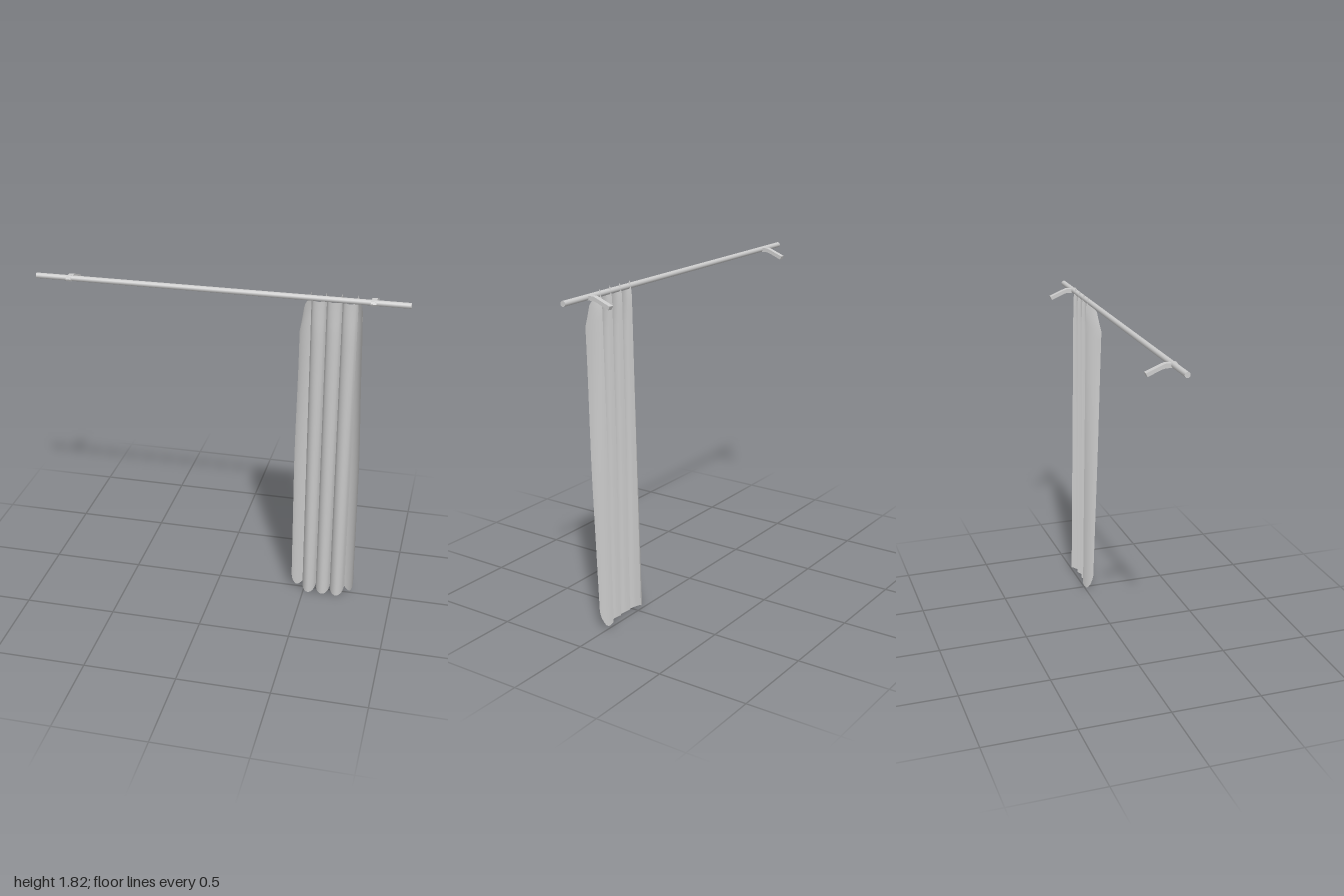
import * as THREE from 'three';

const lerp = THREE.MathUtils.lerp;
const smooth = THREE.MathUtils.smoothstep;

// Grid surface from a rule (u across, v upward) -> [x, y, z]
function sheet(rule, nu, nv, flip) {
  const pos = [], idx = [];
  for (let j = 0; j <= nv; j++)
    for (let i = 0; i <= nu; i++) pos.push(...rule(i / nu, j / nv));
  for (let j = 0; j < nv; j++) {
    for (let i = 0; i < nu; i++) {
      const a = j * (nu + 1) + i, b = a + 1, c = a + nu + 1, d = c + 1;
      if (flip) idx.push(a, d, b, a, c, d);
      else idx.push(a, b, d, a, d, c);
    }
  }
  const g = new THREE.BufferGeometry();
  g.setAttribute('position', new THREE.Float32BufferAttribute(pos, 3));
  g.setIndex(idx);
  g.computeVertexNormals();
  return g;
}

export function createModel() {
  const model = new THREE.Group();
  model.name = 'curtainOnRod';
  const metal = new THREE.MeshStandardMaterial({ color: 0xcccccc });
  metal.name = 'light grey metal';
  const cloth = new THREE.MeshStandardMaterial({ color: 0xc8c8c8, side: THREE.DoubleSide });
  cloth.name = 'light grey cloth';
  const add = (parent, name, geo, mat) => {
    const m = new THREE.Mesh(geo, mat);
    m.name = name;
    parent.add(m);
    return m;
  };

  // Rod
  const rod = add(model, 'rod', new THREE.CylinderGeometry(0.015, 0.015, 2, 12), metal);
  rod.rotation.z = Math.PI / 2;
  rod.position.set(0, 1.79, 0.043);

  // Bent wall brackets: side profile (z, y) extruded across x
  const profile = new THREE.Shape([
    [0.06, 1.777], [0.066, 1.788], [0.06, 1.8], [0, 1.8], [-0.02, 1.793],
    [-0.098, 1.762], [-0.09, 1.743], [-0.02, 1.772], [0, 1.777],
  ].map(([z, y]) => new THREE.Vector2(-z, y)));
  for (const x of [-0.815, 0.81]) {
    const geo = new THREE.ExtrudeGeometry(profile, { depth: 0.028, bevelEnabled: false });
    geo.translate(0, 0, -0.014);
    geo.rotateY(Math.PI / 2);
    const b = add(model, 'bracket', geo, metal);
    b.position.x = x;
  }

  // Curtain: rounded front folds meeting at sharp back creases
  const curtain = new THREE.Group();
  curtain.name = 'curtain';
  model.add(curtain);
  const creases = [0.487, 0.567, 0.648, 0.73];
  const creaseZ = (i, v) =>
    lerp(i === 0 || i === 3 ? -0.01 : 0.004, 0.022, v) + 0.012 * smooth(v, 0.96, 1);

  // Three middle folds
  for (let i = 0; i < 3; i++) {
    const fold = (u, v) => {
      const bulge = Math.sin(Math.PI * u);
      const back = lerp(creaseZ(i, v), creaseZ(i + 1, v), u);
      const front = 0.052 - 0.006 * smooth(v, 0.9, 1);
      const bottom = lerp(0.035, 0.003, Math.sqrt(bulge));
      const top = 1.772 + 0.05 * (1 - bulge) ** 2;
      return [
        lerp(creases[i], creases[i + 1], u),
        lerp(bottom, top, v),
        lerp(back, front, Math.sqrt(bulge)),
      ];
    };
    add(curtain, 'fold', sheet(fold, 14, 30, false), cloth);
  }

  // End flaps sweeping outward and forward from the outer creases
  for (const side of [-1, 1]) {
    const ci = side < 0 ? 0 : 3;
    const edgeX = (v) => side < 0
      ? lerp(0.43, 0.443, smooth(v, 0.4, 0.95)) + 0.014 * smooth(v, 0.93, 1)
      : lerp(0.785, 0.768, smooth(v, 0.4, 0.95)) - 0.008 * smooth(v, 0.93, 1);
    const flap = (u, v) => {
      const out = Math.sin(u * Math.PI / 2);
      const forward = 1 - Math.cos(u * Math.PI / 2);
      const edgeZ = lerp(0.038, 0.103, v) - 0.026 * smooth(v, 0.93, 1);
      const bottom = 0.035 - 0.018 * Math.sin(Math.PI * Math.min(1, u * 1.4)) + 0.07 * u ** 5;
      const top = 1.775 + 0.047 * (1 - u) ** 6 - 0.04 * u ** 3;
      return [
        lerp(creases[ci], edgeX(v), lerp(out, u, 0.3)),
        lerp(bottom, top, v),
        lerp(creaseZ(ci, v), edgeZ, lerp(forward, u, 0.5)),
      ];
    };
    add(curtain, 'endFlap', sheet(flap, 12, 30, side < 0), cloth);
  }
  return model;
}
